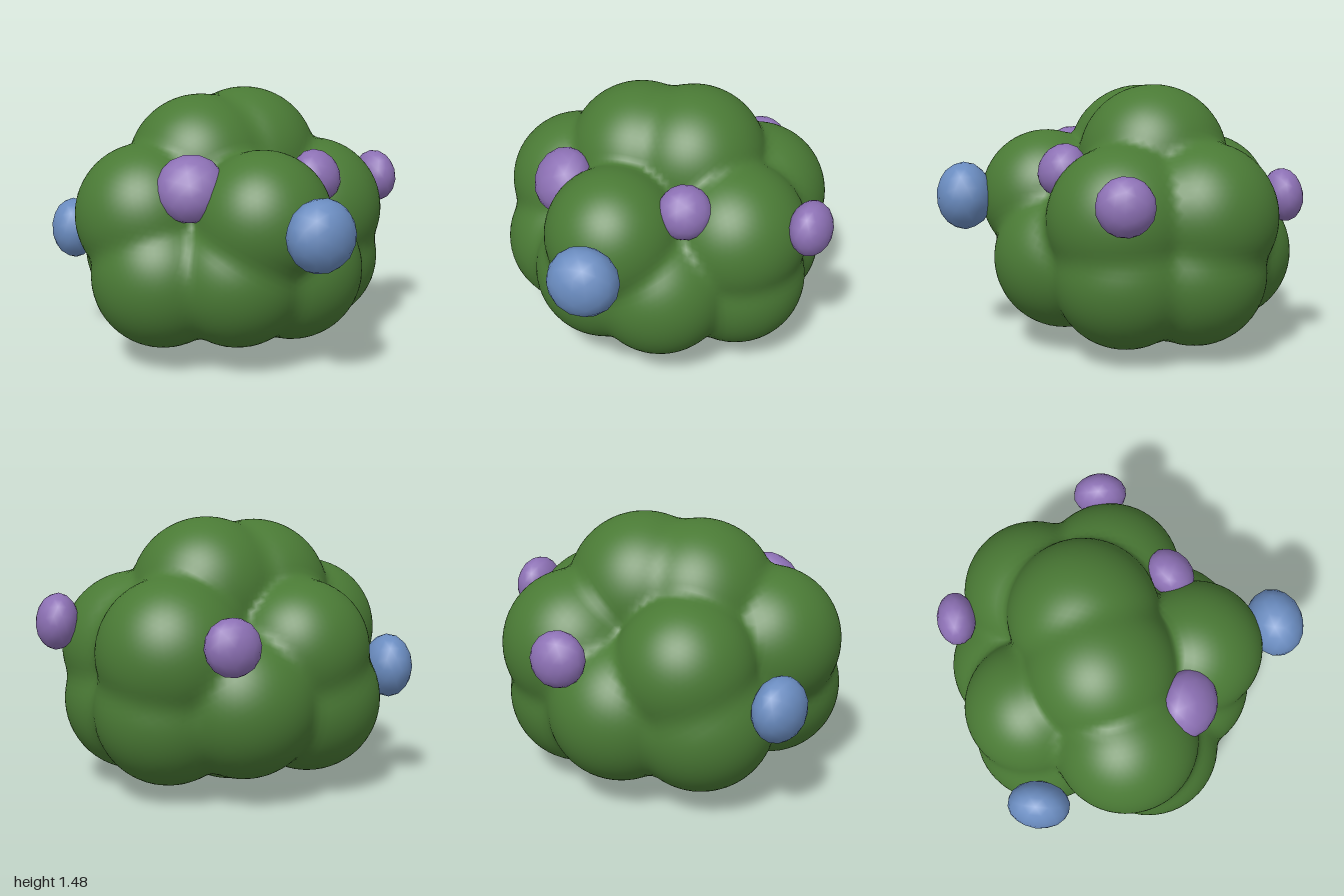
import * as THREE from 'three';
import { mergeVertices } from 'three/addons/utils/BufferGeometryUtils.js';

// foliage lobes: x, y, z, radius
const LOBES = [
  [-0.2, 1.04, -0.2, 0.42], [0.11, 1.06, -0.2, 0.42],    // crown
  [-0.58, 0.82, -0.18, 0.4], [-0.57, 0.5, -0.04, 0.4],   // right-hand side
  [-0.19, 0.83, 0.36, 0.38], [-0.28, 0.52, 0.25, 0.4],   // front
  [0.06, 0.51, 0.3, 0.4],
  [0.42, 0.77, 0.05, 0.41], [0.43, 0.47, 0.03, 0.4],     // left-hand side
  [0.44, 0.78, -0.4, 0.41], [0.44, 0.47, -0.35, 0.4],
  [-0.22, 0.78, -0.61, 0.38], [-0.3, 0.5, -0.58, 0.4],   // back
  [0.13, 0.52, -0.6, 0.4],
  [-0.04, 0.42, -0.2, 0.42],                             // underside
];

// distance to the softly blended lobes
function lobeDistance(p) {
  const k = 0.04;
  let d = Infinity;
  for (const [x, y, z, r] of LOBES) {
    const s = Math.hypot(p.x - x, p.y - y, p.z - z) - r;
    const h = Math.max(k - Math.abs(d - s), 0) / k;
    d = Math.min(d, s) - (Number.isFinite(d) ? h * h * k / 4 : 0);
  }
  return d;
}

// a welded sphere, so normals run smoothly
function weldedSphere(radius, detail) {
  const geo = new THREE.IcosahedronGeometry(radius, detail);
  geo.deleteAttribute('uv');
  geo.deleteAttribute('normal');
  return mergeVertices(geo, 1e-4);
}

// shrink-wrap a sphere inwards onto the lobes
function foliageGeometry() {
  const geo = weldedSphere(1, 24);
  const centre = new THREE.Vector3(-0.06, 0.68, -0.15);
  const pos = geo.attributes.position;
  const dir = new THREE.Vector3(), p = new THREE.Vector3();
  for (let i = 0; i < pos.count; i++) {
    dir.fromBufferAttribute(pos, i).normalize();
    let t = 1.6;
    for (let step = 0; step < 80; step++) {
      const d = lobeDistance(p.copy(centre).addScaledVector(dir, t));
      if (d < 0.0005) break;
      t -= d;
    }
    pos.setXYZ(i, p.x, p.y, p.z);
  }
  geo.computeVertexNormals();
  return geo;
}

// blossoms: name, colour, centre, outward direction, radius, half depth
const BLUE = 0x6a8cc0, PURPLE = 0x8c70b4;
const BLOSSOMS = [
  ['frontBlueBlossom', BLUE, [-0.19, 0.84, 0.84], [0, 0, 1], 0.195, 0.16],
  ['backBlueBlossom', BLUE, [-0.74, 0.66, -0.74], [-1, 0, -0.45], 0.175, 0.13],
  ['rightPurpleBlossom', PURPLE, [-0.54, 1.02, 0.19], [-0.5, 0.5, 0.6], 0.19, 0.14],
  ['frontPurpleBlossom', PURPLE, [0.21, 1.03, 0.34], [0.3, 0.5, 0.8], 0.15, 0.12],
  ['leftPurpleBlossom', PURPLE, [0.86, 0.92, 0.13], [1, 0.1, 0.25], 0.155, 0.115],
  ['backPurpleBlossom', PURPLE, [0.38, 0.875, -0.88], [0.15, 0.15, -1], 0.15, 0.11],
];

export function createModel() {
  const bush = new THREE.Group();
  bush.name = 'bush';

  const foliage = new THREE.Mesh(foliageGeometry(), new THREE.MeshStandardMaterial({ color: 0x4a7a35 }));
  foliage.name = 'foliage';
  bush.add(foliage);

  // flattened balls facing away from the leaves
  const ball = weldedSphere(1, 2);
  ball.computeVertexNormals();
  for (const [name, color, centre, out, radius, depth] of BLOSSOMS) {
    const blossom = new THREE.Mesh(ball, new THREE.MeshStandardMaterial({ color }));
    blossom.name = name;
    blossom.position.set(...centre);
    blossom.quaternion.setFromUnitVectors(new THREE.Vector3(0, 0, 1), new THREE.Vector3(...out).normalize());
    blossom.scale.set(radius, radius, depth);
    bush.add(blossom);
  }
  return bush;
}
